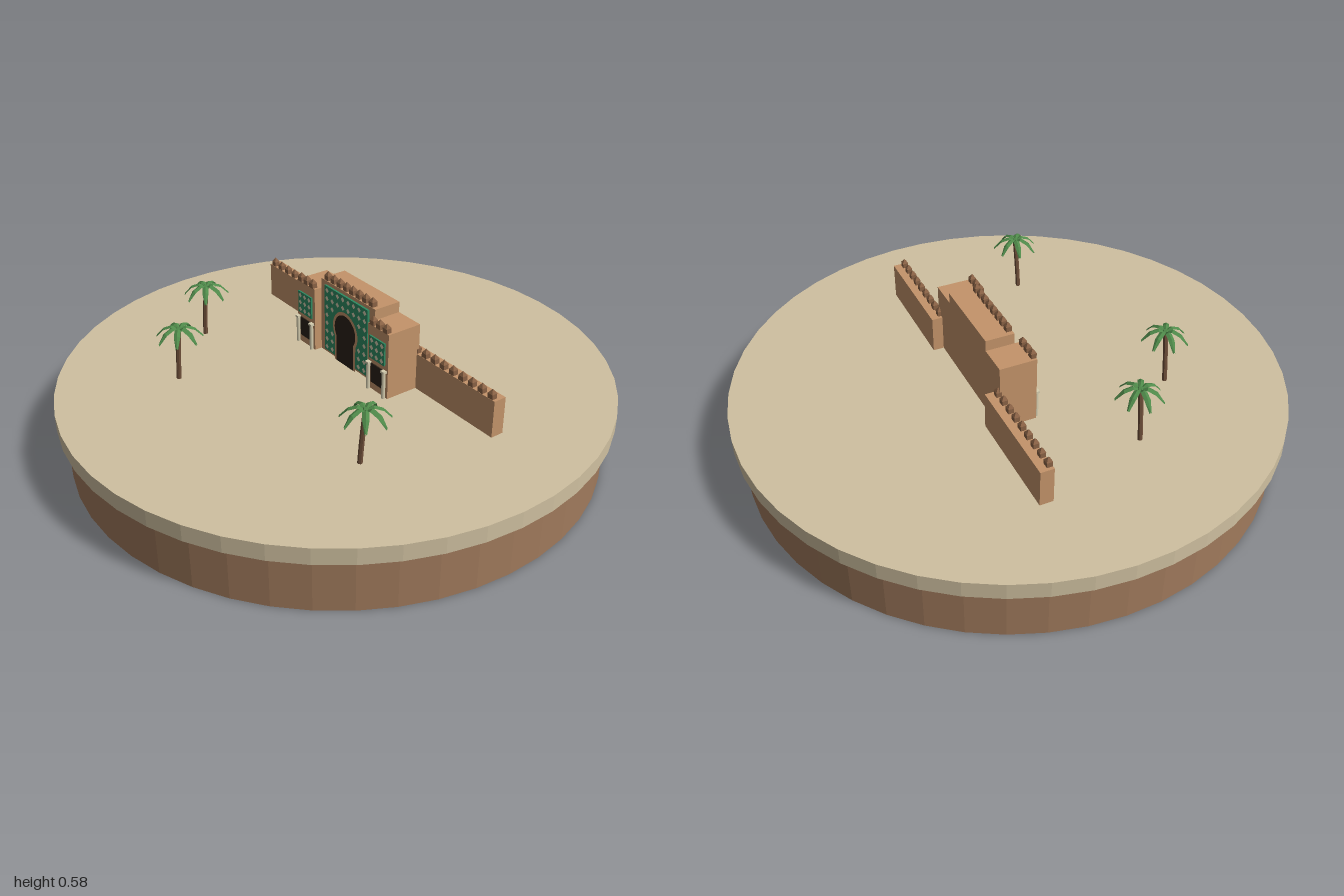
import * as THREE from 'three';

const mat = (name, color, extra = {}) => {
  const m = new THREE.MeshStandardMaterial({ color, ...extra });
  m.name = name;
  return m;
};

export function createModel() {
  const M = {
    sand: mat('sand', 0xcfc0a0, { flatShading: true }),
    soil: mat('soil', 0xa07a5c, { flatShading: true }),
    clay: mat('clay', 0xc4946a),
    merlon: mat('merlon brown', 0x8a6245, { flatShading: true }),
    tile: mat('green tile', 0x2e8b62),
    cream: mat('cream', 0xd6ceb0),
    dark: mat('dark opening', 0x2a2118),
    trunk: mat('trunk brown', 0x70503a, { flatShading: true }),
    leaf: mat('palm green', 0x4f8a4a, { flatShading: true, side: THREE.DoubleSide }),
  };
  const model = new THREE.Group();
  const add = (parent, name, geo, material, x = 0, y = 0, z = 0) => {
    const m = new THREE.Mesh(geo, material);
    m.name = name;
    m.position.set(x, y, z);
    parent.add(m);
    return m;
  };
  const GROUND = 0.26;

  // Round base
  add(model, 'soilBase', new THREE.CylinderGeometry(0.97, 0.97, 0.2, 48), M.soil, 0, 0.1, 0);
  add(model, 'sandDisc', new THREE.CylinderGeometry(1, 1, 0.06, 48), M.sand, 0, 0.23, 0);

  // Gatehouse, turned on the disc; its own y = 0 is the ground
  const gate = new THREE.Group();
  gate.name = 'gatehouse';
  gate.position.y = GROUND;
  gate.rotation.y = THREE.MathUtils.degToRad(-20);
  model.add(gate);

  const block = (name, x0, x1, h, z0, z1) =>
    add(gate, name, new THREE.BoxGeometry(x1 - x0, h, z1 - z0), M.clay, (x0 + x1) / 2, h / 2, (z0 + z1) / 2);

  // Row of pointed merlons along a front edge
  const bodyGeo = new THREE.BoxGeometry(0.023, 0.018, 0.02);
  const tipGeo = new THREE.ConeGeometry(0.0155, 0.016, 4).rotateY(Math.PI / 4);
  const merlons = (x0, x1, y, z, count) => {
    const row = new THREE.Group();
    row.name = 'merlonRow';
    gate.add(row);
    for (let i = 0; i < count; i++) {
      const x = x0 + ((x1 - x0) * (i + 0.5)) / count;
      add(row, 'merlonBody', bodyGeo, M.merlon, x, y + 0.009, z);
      add(row, 'merlonTip', tipGeo, M.merlon, x, y + 0.026, z);
    }
  };

  // Tile diamonds on a grid, skipping places where skip(x, y) is true
  const diamonds = (cx, y0, z, w, h, cols, rows, r, skip = () => false) => {
    const geo = new THREE.CircleGeometry(r, 4);
    for (let i = 0; i < cols; i++)
      for (let j = 0; j < rows; j++) {
        const x = ((i + 0.5) / cols - 0.5) * w;
        const y = y0 + ((j + 0.5) / rows) * h;
        if (!skip(x, y)) add(gate, 'tileDiamond', geo, M.cream, cx + x, y, z);
      }
  };

  // Horseshoe arch outline: narrow jambs under a wider round head
  const horseshoe = (jamb, r, cy) => {
    const a = Math.acos(jamb / r);
    const s = new THREE.Shape();
    s.moveTo(-jamb, 0);
    s.lineTo(jamb, 0);
    s.lineTo(jamb, cy - r * Math.sin(a));
    s.absarc(0, cy, r, -a, Math.PI + a, false);
    s.lineTo(-jamb, 0);
    return new THREE.ShapeGeometry(s, 20);
  };

  // Central block with its tiled portal
  block('centralBlock', -0.16, 0.16, 0.29, -0.156, -0.05);
  merlons(-0.15, 0.15, 0.29, -0.062, 8);
  add(gate, 'tilePanel', new THREE.BoxGeometry(0.256, 0.262, 0.008), M.tile, 0, 0.145, -0.046);
  diamonds(0, 0.014, -0.041, 0.256, 0.262, 8, 8, 0.0105,
    (x, y) => Math.hypot(x, y - 0.138) < 0.084 || (Math.abs(x) < 0.075 && y < 0.14));
  add(gate, 'archSurround', horseshoe(0.062, 0.074, 0.138), M.clay, 0, 0.001, -0.0405);
  add(gate, 'archOpening', horseshoe(0.05, 0.062, 0.138), M.dark, 0, 0.001, -0.0395);

  for (const s of [-1, 1]) {
    // Flanking tower
    const cx = s * 0.217;
    block('tower', cx - 0.057, cx + 0.057, 0.25, -0.156, -0.02);
    merlons(cx - 0.055, cx + 0.055, 0.25, -0.028, 3);

    // Tower tile square
    add(gate, 'towerTile', new THREE.BoxGeometry(0.084, 0.086, 0.006), M.tile, cx, 0.168, -0.017);
    diamonds(cx, 0.125, -0.0135, 0.084, 0.086, 3, 3, 0.0105);

    // Niche between two columns
    add(gate, 'niche', new THREE.BoxGeometry(0.066, 0.075, 0.004), M.dark, cx, 0.067, -0.018);
    for (const t of [-1, 1]) {
      const x = cx + t * 0.043;
      add(gate, 'column', new THREE.CylinderGeometry(0.007, 0.007, 0.1, 10), M.cream, x, 0.05, -0.013);
      add(gate, 'capital', new THREE.BoxGeometry(0.018, 0.008, 0.016), M.cream, x, 0.104, -0.013);
    }

    // Curtain wall
    const a = Math.min(s * 0.24, s * 0.66);
    block('curtainWall', a, a + 0.42, 0.137, -0.196, -0.147);
    merlons(a, a + 0.42, 0.137, -0.158, 9);
  }

  // Palm frond: ridged blade swept along a drooping curve
  const frondGeo = () => {
    const path = [[0, 0, 0.005], [0.025, 0.013, 0.011], [0.055, 0.001, 0.011], [0.084, -0.032, 0.004]];
    const pos = [], idx = [];
    path.forEach(([x, y, w], i) => {
      pos.push(x, y - 0.006, -w, x, y, 0, x, y - 0.006, w);
      if (i)
        for (const k of [0, 1]) {
          const p = (i - 1) * 3 + k, q = i * 3 + k;
          idx.push(p, p + 1, q, q, p + 1, q + 1);
        }
    });
    const g = new THREE.BufferGeometry();
    g.setAttribute('position', new THREE.Float32BufferAttribute(pos, 3));
    g.setIndex(idx);
    g.computeVertexNormals();
    return g;
  };
  const frond = frondGeo();

  // Palms with leaning trunks and seven fronds
  const palm = (x, z, turn) => {
    const p = new THREE.Group();
    p.name = 'palm';
    p.position.set(x, GROUND, z);
    model.add(p);
    const curve = new THREE.QuadraticBezierCurve3(
      new THREE.Vector3(-0.018, 0, 0), new THREE.Vector3(-0.012, 0.1, 0), new THREE.Vector3(0, 0.2, 0));
    add(p, 'trunk', new THREE.TubeGeometry(curve, 5, 0.009, 7), M.trunk);
    add(p, 'crownHeart', new THREE.IcosahedronGeometry(0.013, 0), M.leaf, 0, 0.2, 0);
    for (let i = 0; i < 7; i++) {
      const f = add(p, 'frond', frond, M.leaf, 0, 0.203, 0);
      f.rotation.y = turn + (i * Math.PI * 2) / 7;
    }
  };
  palm(-0.555, 0.055, 0);
  palm(-0.41, 0.37, -0.05);
  palm(0.41, 0.445, -0.1);

  return model;
}
